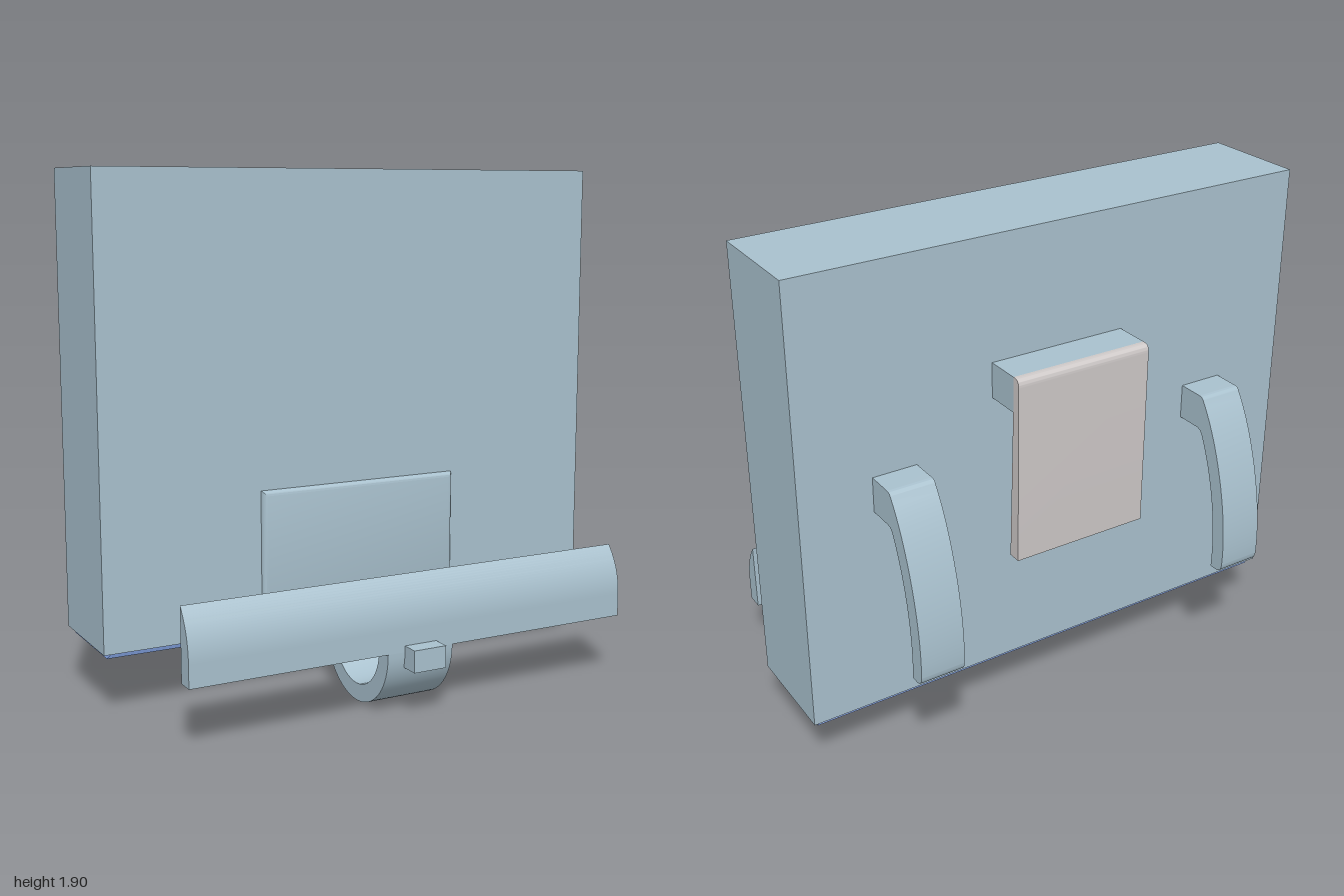
import * as THREE from 'three';
import { toCreasedNormals } from 'three/addons/utils/BufferGeometryUtils.js';

const shell = new THREE.MeshStandardMaterial({ name: 'paleBlue', color: 0xa9c1ce });
const grey = new THREE.MeshStandardMaterial({ name: 'warmGrey', color: 0xcdc8c7 });
const blue = new THREE.MeshStandardMaterial({ name: 'baseBlue', color: 0x7692cc });

function add(group, name, geometry, material) {
  const mesh = new THREE.Mesh(geometry, material);
  mesh.name = name;
  group.add(mesh);
  return mesh;
}

function box(group, name, material, x, y, z) {
  const g = new THREE.BoxGeometry(x[1] - x[0], y[1] - y[0], z[1] - z[0]);
  g.translate((x[0] + x[1]) / 2, (y[0] + y[1]) / 2, (z[0] + z[1]) / 2);
  return add(group, name, g, material);
}

// Side profile drawn as (-z, y), extruded along x and centred on cx
function sideExtrude(group, name, material, shape, width, cx = 0) {
  let g = new THREE.ExtrudeGeometry(shape, { depth: width, bevelEnabled: false, curveSegments: 20 });
  g.translate(0, 0, -width / 2);
  g.rotateY(Math.PI / 2);
  g.translate(cx, 0, 0);
  g = toCreasedNormals(g, 0.5);
  return add(group, name, g, material);
}

export function createModel() {
  const group = new THREE.Group();

  // Main slab
  box(group, 'body', shell, [-1, 1], [0.24, 1.9], [-0.31, 0.09]);

  // Base plate, slightly wider at the bottom
  const base = box(group, 'basePlate', blue, [-0.98, 0.98], [0.217, 0.241], [-0.29, 0.06]);
  const p = base.geometry.attributes.position;
  for (let i = 0; i < p.count; i++) {
    if (p.getY(i) > 0.23) {
      p.setX(i, p.getX(i) * 0.975);
      if (p.getZ(i) < 0) p.setZ(i, -0.27);
    }
  }
  base.geometry.computeVertexNormals();

  // Raised front panel with rounded rim
  const rim = 0.018;
  const panelShape = new THREE.Shape([
    [-0.4 + rim, 0.33 + rim], [0.4 - rim, 0.33 + rim],
    [0.4 - rim, 0.76 - rim], [-0.4 + rim, 0.76 - rim],
  ].map(([x, y]) => new THREE.Vector2(x, y)));
  const panel = new THREE.ExtrudeGeometry(panelShape, {
    depth: 0.005, bevelThickness: 0.02, bevelSize: rim, bevelSegments: 4,
  });
  panel.translate(0, 0, 0.085);
  add(group, 'frontPanel', toCreasedNormals(panel, 0.6), shell);

  // Half-ring hook below the front, flaring into the body
  const hook = new THREE.Shape();
  hook.moveTo(-0.54, 0.237);
  hook.absarc(-0.307, 0.237, 0.233, Math.PI, Math.PI * 2, false);
  hook.quadraticCurveTo(-0.125, 0.232, -0.142, 0.2);
  hook.absarc(-0.307, 0.237, 0.169, -0.22, -Math.PI, true);
  hook.closePath();
  sideExtrude(group, 'hook', shell, hook, 0.262);

  // Wide curved paddle on the hook
  const paddle = new THREE.Shape();
  paddle.moveTo(-0.54, 0.237);
  paddle.lineTo(-0.476, 0.237);
  paddle.lineTo(-0.476, 0.5);
  paddle.quadraticCurveTo(-0.54, 0.42, -0.54, 0.32);
  paddle.closePath();
  sideExtrude(group, 'paddle', shell, paddle, 1.74);

  // Tongue running through the hook
  box(group, 'tongue', shell, [-0.064, 0.064], [0.18, 0.26], [0.08, 0.605]);

  // Pair of curved rear handles
  const handle = new THREE.Shape();
  handle.moveTo(0.3, 1.15);
  handle.lineTo(0.3, 1.02);
  handle.lineTo(0.405, 1.02);
  handle.quadraticCurveTo(0.428, 1.02, 0.44, 0.995);
  handle.bezierCurveTo(0.505, 0.86, 0.552, 0.68, 0.542, 0.485);
  handle.lineTo(0.57, 0.485);
  handle.quadraticCurveTo(0.603, 0.485, 0.603, 0.53);
  handle.bezierCurveTo(0.61, 0.74, 0.53, 1.0, 0.435, 1.135);
  handle.quadraticCurveTo(0.428, 1.15, 0.41, 1.15);
  handle.closePath();
  for (const side of [-1, 1]) {
    sideExtrude(group, side > 0 ? 'leftHandle' : 'rightHandle', shell, handle, 0.167, side * 0.645);
  }

  // Rear bracket and its hanging flap
  box(group, 'flapBracket', shell, [-0.265, 0.265], [1.32, 1.45], [-0.442, -0.3]);
  const flap = new THREE.Shape();
  flap.moveTo(0.441, 1.45);
  flap.lineTo(0.441, 1.32);
  flap.lineTo(0.425, 0.755);
  flap.lineTo(0.474, 0.755);
  flap.lineTo(0.474, 1.42);
  flap.quadraticCurveTo(0.474, 1.45, 0.45, 1.45);
  flap.closePath();
  sideExtrude(group, 'flap', grey, flap, 0.53);

  return group;
}
